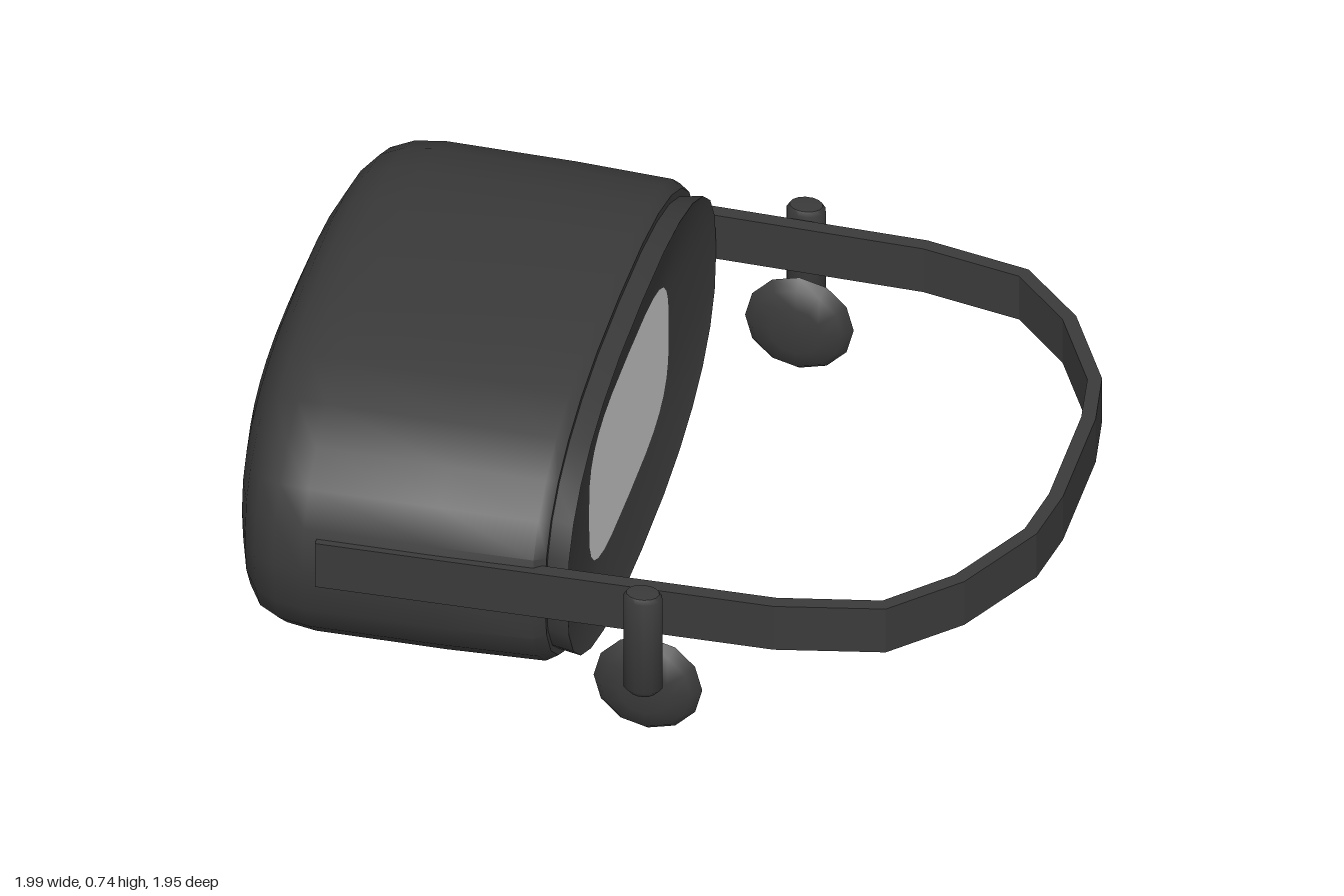
import * as THREE from 'three';
import { toCreasedNormals } from 'three/addons/utils/BufferGeometryUtils.js';

const dark = new THREE.MeshStandardMaterial({ color: 0x3a3a3a, side: THREE.DoubleSide });
const pale = new THREE.MeshStandardMaterial({ color: 0xcccccc, side: THREE.DoubleSide });

// Skin of superellipse rings [halfWidth, halfHeight, z, exponent]
function loft(rings, crease = 0.7, sides = 28) {
  const pos = [], index = [];
  const bend = (v, n) => Math.sign(v) * Math.abs(v) ** (2 / n);
  rings.forEach(([a, b, z, n], i) => {
    for (let j = 0; j < sides; j++) {
      const t = (j / sides) * Math.PI * 2;
      pos.push(a * bend(Math.cos(t), n), b * bend(Math.sin(t), n), z);
      if (i === 0) continue;
      const k = (j + 1) % sides, p = (i - 1) * sides, q = i * sides;
      index.push(p + j, p + k, q + k, p + j, q + k, q + j);
    }
  });
  const g = new THREE.BufferGeometry();
  g.setAttribute('position', new THREE.Float32BufferAttribute(pos, 3));
  g.setIndex(index);
  return toCreasedNormals(g, crease);
}

// Band of constant height following a faceted path around the head
function strapGeometry() {
  const half = [[0.727, 0.57], [0.707, -0.48], [0.656, -0.725], [0.513, -0.87], [0.3, -0.983], [0.15, -1.006]];
  const outer = [...half, ...half.map(([x, z]) => [-x, z]).reverse()].map(p => new THREE.Vector2(...p));
  const inner = outer.map((p, i) => {
    const prev = outer[Math.max(i - 1, 0)], next = outer[Math.min(i + 1, outer.length - 1)];
    const d = next.clone().sub(prev).normalize();
    return new THREE.Vector2(p.x + d.y * 0.033, p.y - d.x * 0.033);
  });
  const shape = new THREE.Shape([...outer, ...inner.reverse()]);
  return new THREE.ExtrudeGeometry(shape, { depth: 0.12, bevelEnabled: false }).rotateX(Math.PI / 2);
}

// Solid of revolution with smooth faces and sharp rims
function lathe(points, sides) {
  return toCreasedNormals(new THREE.LatheGeometry(points.map(p => new THREE.Vector2(...p)), sides), 0.9);
}

export function createModel() {
  const model = new THREE.Group();
  model.name = 'headset';
  const rig = new THREE.Group();
  rig.name = 'turnedHeadset';
  rig.rotation.y = -0.89;
  rig.position.set(-0.0095, 0, -0.012);
  model.add(rig);

  function add(name, geometry, material, x, y, z) {
    const mesh = new THREE.Mesh(geometry, material);
    mesh.name = name;
    mesh.position.set(x, y, z);
    rig.add(mesh);
    return mesh;
  }

  // Visor housing with a gently domed front
  add('visorHousing', loft([
    [0.6, 0.3, 0.055, 2.5],
    [0.69, 0.352, 0.05, 2.5],
    [0.71, 0.364, 0.075, 2.5],
    [0.718, 0.37, 0.3, 2.5],
    [0.722, 0.37, 0.6, 2.5],
    [0.712, 0.362, 0.67, 2.5],
    [0.685, 0.345, 0.72, 2.5],
    [0.63, 0.315, 0.755, 2.5],
    [0.53, 0.262, 0.787, 2.5],
    [0.36, 0.18, 0.817, 2.5],
    [0.18, 0.09, 0.832, 2.5],
    [0.001, 0.001, 0.836, 2.5],
  ]), dark, 0, 0.37, 0);

  // Face cushion sloping in to the lens panel
  add('faceCushion', loft([
    [0.366, 0.197, 0.03, 3.5],
    [0.65, 0.322, 0.008, 2.5],
    [0.682, 0.343, 0, 2.5],
    [0.672, 0.335, 0.06, 2.5],
  ], 0.5), dark, 0, 0.367, 0);
  add('lensPanel', loft([[0.001, 0.001, 0.03, 3.5], [0.366, 0.197, 0.03, 3.5]], 0.5), pale, 0, 0.367, 0);

  add('headStrap', strapGeometry(), dark, 0, 0.46, 0);

  // Earphones hang from short arms on both sides of the strap
  for (const side of [1, -1]) {
    const label = side > 0 ? 'left' : 'right';
    const arm = add(label + 'EarphoneArm', lathe(
      [[0, 0], [0.03, 0.004], [0.045, 0.02], [0.045, 0.265], [0.038, 0.277], [0, 0.28]], 14),
    dark, side * 0.75, 0.2, -0.19);
    arm.scale.x = 0.75;
    const pad = add(label + 'Earphone', lathe(
      [[0, -0.042], [0.06, -0.038], [0.105, -0.024], [0.125, 0], [0.105, 0.024], [0.06, 0.038], [0, 0.042]], 12),
    dark, side * 0.695, 0.188, -0.188);
    pad.rotation.z = Math.PI / 2;
  }
  return model;
}
